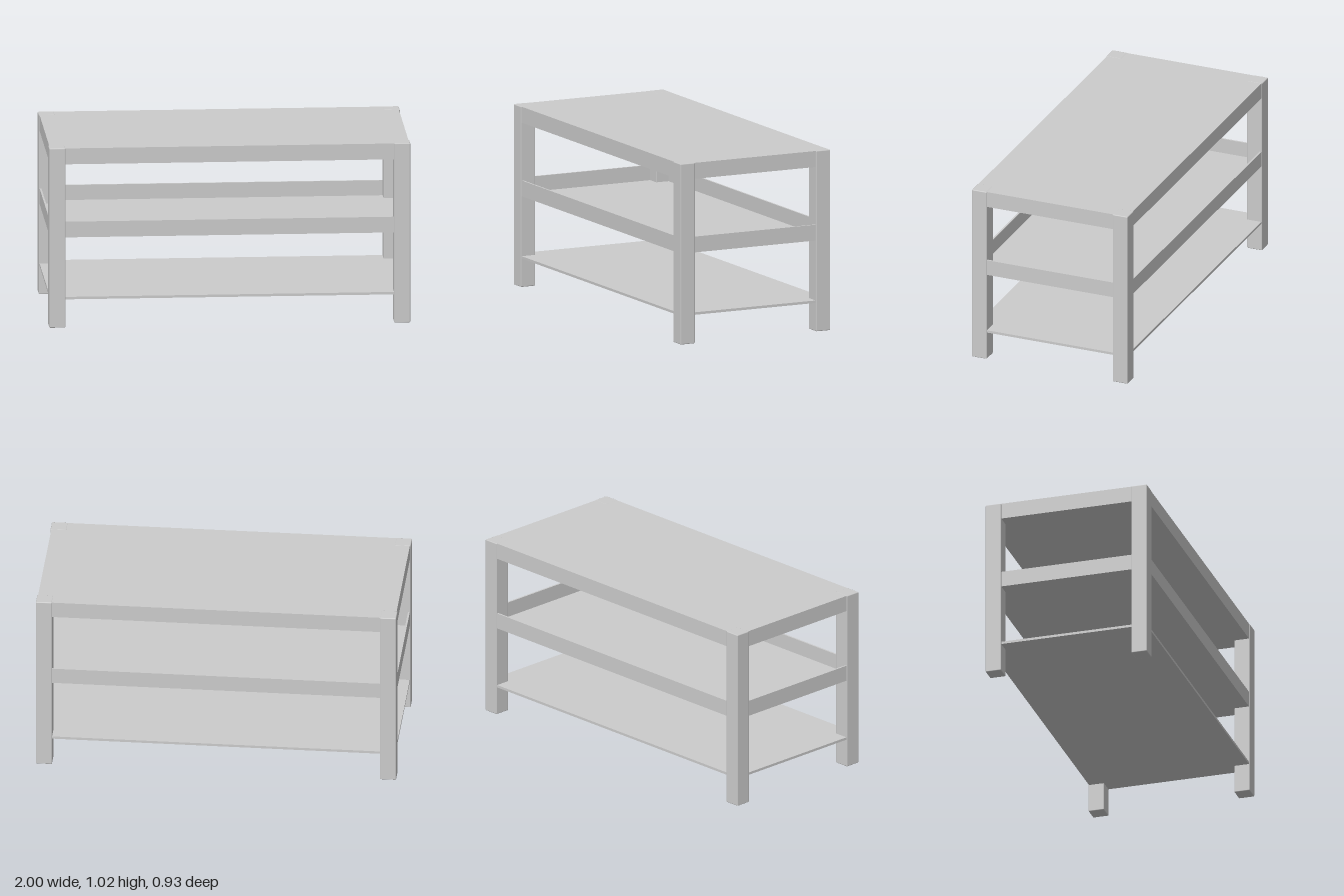
import * as THREE from 'three';
import { RoundedBoxGeometry } from 'three/addons/geometries/RoundedBoxGeometry.js';

export function createModel() {
  const group = new THREE.Group();
  const material = new THREE.MeshStandardMaterial({ color: 0xcccccc });
  const add = (name, geometry, x, y, z) => {
    const mesh = new THREE.Mesh(geometry, material);
    mesh.name = name;
    mesh.position.set(x, y, z);
    group.add(mesh);
  };
  // box given by its size, bottom and top height
  const slab = (name, w, d, y0, y1, x = 0, z = 0) =>
    add(name, new THREE.BoxGeometry(w, y1 - y0, d), x, (y0 + y1) / 2, z);

  const W = 1.99, D = 0.926; // outer faces, just inside the legs
  const height = 1.016, leg = 0.09;

  // four square legs with slightly eased edges
  const legGeometry = new RoundedBoxGeometry(leg, height, leg, 1, 0.005);
  for (const [sx, sideName] of [[1, 'Left'], [-1, 'Right']]) {
    for (const [sz, endName] of [[1, 'front'], [-1, 'back']]) {
      add(`${endName}${sideName}Leg`, legGeometry, sx * (1 - leg / 2), height / 2, sz * (0.467 - leg / 2));
    }
  }

  // thick table top and thin bottom shelf
  slab('tableTop', W, D, 0.925, 1.015);
  slab('bottomShelf', W, D, 0.16, 0.174);

  // middle tray: thin floor surrounded by upright rails
  const rail = 0.01, y0 = 0.515, y1 = 0.6;
  slab('trayFloor', W, D, 0.511, y0);
  for (const s of [1, -1]) {
    slab(s > 0 ? 'frontRail' : 'backRail', W, rail, y0, y1, 0, s * (D - rail) / 2);
    slab(s > 0 ? 'leftRail' : 'rightRail', rail, D - 2 * rail, y0, y1, s * (W - rail) / 2, 0);
  }

  return group;
}
